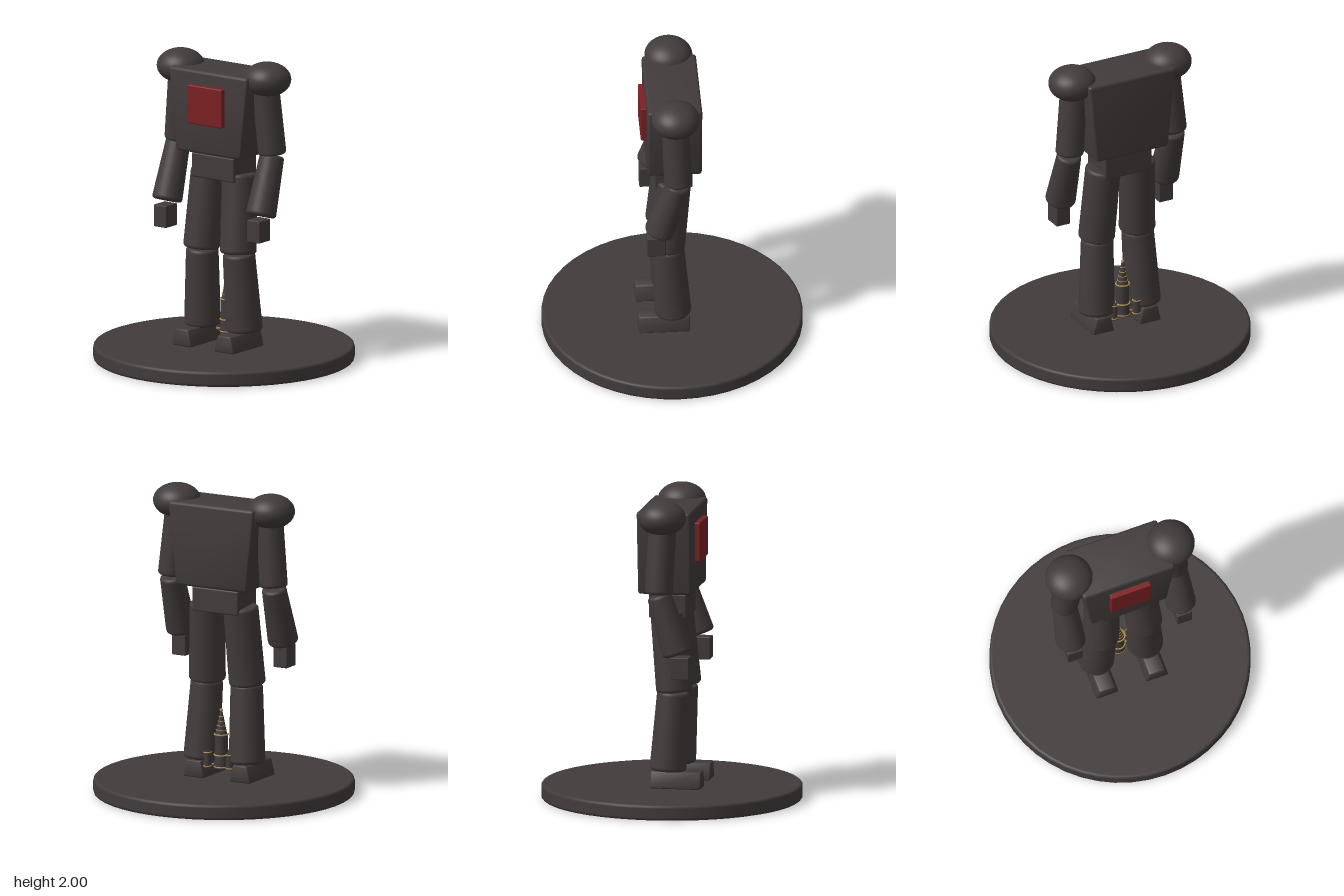
import * as THREE from 'three';
import { toCreasedNormals } from 'three/addons/utils/BufferGeometryUtils.js';
import { RoundedBoxGeometry } from 'three/addons/geometries/RoundedBoxGeometry.js';

const mat = (name, color) => {
  const m = new THREE.MeshStandardMaterial({ color });
  m.name = name;
  return m;
};

export function createModel() {
  const iron = mat('dark iron', 0x423b3b);
  const red = mat('deep red', 0x7a2022);
  const gold = mat('gold', 0xb08d4f);
  const model = new THREE.Group();
  model.name = 'robotStatue';

  const add = (parent, name, geometry, material, x = 0, y = 0, z = 0) => {
    const mesh = new THREE.Mesh(geometry, material);
    mesh.name = name;
    mesh.position.set(x, y, z);
    parent.add(mesh);
    return mesh;
  };

  // Softened box whose width changes from bottom to top
  const taperedBox = (wBottom, wTop, h, d, bevel) => {
    const g = new RoundedBoxGeometry(1, h, d, 3, bevel);
    const p = g.attributes.position;
    for (let i = 0; i < p.count; i++) {
      const w = THREE.MathUtils.lerp(wBottom, wTop, p.getY(i) / h + 0.5);
      const x = p.getX(i), inner = 0.5 - bevel;
      // keep the bevel width constant while the flat part is scaled
      const sx = Math.abs(x) > inner
        ? Math.sign(x) * (w / 2 - 0.5 + Math.abs(x))
        : x * (w / 2 - bevel) / inner;
      p.setX(i, sx);
    }
    return toCreasedNormals(g, 0.6);
  };

  // Turned solid with rounded rims, from y = 0 to y = h
  const roundedDrum = (r0, r1, h, b, segments) => {
    const pts = [new THREE.Vector2(0, 0), new THREE.Vector2(r0 - b * 1.2, 0)];
    for (let i = 0; i <= 4; i++) {
      const a = (i / 4) * Math.PI / 2;
      pts.push(new THREE.Vector2(r0 - b + b * Math.sin(a), b - b * Math.cos(a)));
    }
    pts.push(new THREE.Vector2(r0, b * 1.2), new THREE.Vector2(r1, h - b * 1.2));
    for (let i = 0; i <= 4; i++) {
      const a = (i / 4) * Math.PI / 2;
      pts.push(new THREE.Vector2(r1 - b + b * Math.cos(a), h - b + b * Math.sin(a)));
    }
    pts.push(new THREE.Vector2(r1 - b * 1.2, h), new THREE.Vector2(0, h));
    return new THREE.LatheGeometry(pts, segments);
  };

  // Limb segment running from its lower centre to its upper centre
  const limb = (parent, name, from, to, r0, r1) => {
    const a = new THREE.Vector3(...from), dir = new THREE.Vector3(...to).sub(a);
    const mesh = add(parent, name, roundedDrum(r0, r1, dir.length(), 0.02, 32), iron, ...from);
    mesh.quaternion.setFromUnitVectors(new THREE.Vector3(0, 1, 0), dir.normalize());
  };

  // Display base
  add(model, 'base', roundedDrum(0.84, 0.84, 0.1, 0.018, 48), iron);

  // Trunk
  add(model, 'torso', taperedBox(0.52, 0.632, 0.545, 0.35, 0.018), iron, 0, 1.643, 0);
  add(model, 'pelvis', new RoundedBoxGeometry(0.34, 0.16, 0.245, 3, 0.01), iron, 0, 1.28, 0.002);
  add(model, 'chestPlate', new RoundedBoxGeometry(0.275, 0.255, 0.05, 3, 0.008), red, 0, 1.697, 0.185);

  // Arms and legs on both sides
  for (const s of [1, -1]) {
    const arm = new THREE.Group();
    arm.name = s > 0 ? 'leftArm' : 'rightArm';
    model.add(arm);
    add(arm, 'shoulder', new THREE.SphereGeometry(0.155, 40, 24), iron, s * 0.347, 1.888, 0)
      .scale.set(1, 0.72, 1);
    limb(arm, 'upperArm', [s * 0.377, 1.395, -0.016], [s * 0.335, 1.85, 0.003], 0.091, 0.088);
    limb(arm, 'forearm', [s * 0.377, 1.01, 0.11], [s * 0.377, 1.39, -0.014], 0.098, 0.08);
    add(arm, 'hand', new RoundedBoxGeometry(0.1, 0.145, 0.12, 2, 0.006), iron, s * 0.375, 0.92, 0.128);

    const leg = new THREE.Group();
    leg.name = s > 0 ? 'leftLeg' : 'rightLeg';
    model.add(leg);
    limb(leg, 'thigh', [s * 0.148, 0.722, 0.045], [s * 0.124, 1.24, -0.002], 0.118, 0.114);
    limb(leg, 'shin', [s * 0.168, 0.21, 0.005], [s * 0.147, 0.722, 0.037], 0.118, 0.105);
    add(leg, 'foot', taperedBox(0.156, 0.104, 0.11, 0.33, 0.01), iron, s * 0.17, 0.155, 0.065);
  }

  // Small rocket between the legs
  const rocket = new THREE.Group();
  rocket.name = 'rocket';
  rocket.position.z = -0.035;
  model.add(rocket);
  const ring = (name, r, x, y, tube = 0.005) => {
    add(rocket, name, new THREE.TorusGeometry(r, tube, 8, 24), gold, x, y).rotation.x = Math.PI / 2;
  };
  add(rocket, 'rocketSkirt', new THREE.CylinderGeometry(0.042, 0.048, 0.09, 24), iron, 0, 0.215);
  add(rocket, 'rocketBody', new THREE.CylinderGeometry(0.042, 0.042, 0.14, 24), iron, 0, 0.32);
  add(rocket, 'rocketSpire', new THREE.CylinderGeometry(0.008, 0.038, 0.15, 24), iron, 0, 0.465);
  add(rocket, 'rocketTip', new THREE.SphereGeometry(0.011, 12, 8), gold, 0, 0.549);
  ring('bottomBand', 0.045, 0, 0.178);
  ring('middleBand', 0.045, 0, 0.255);
  ring('topBand', 0.044, 0, 0.39);
  for (let i = 0; i < 4; i++) ring('spireBand', 0.034 - i * 0.0065, 0, 0.418 + i * 0.03, 0.0025);

  // Side boosters with their gold struts
  for (const s of [1, -1]) {
    add(rocket, 'booster', new THREE.CylinderGeometry(0.022, 0.026, 0.11, 20), iron, s * 0.083, 0.225, -0.035);
    for (const y of [0.18, 0.27]) {
      add(rocket, 'boosterBand', new THREE.TorusGeometry(0.025, 0.004, 8, 20), gold, s * 0.083, y, -0.035)
        .rotation.x = Math.PI / 2;
    }
    add(rocket, 'boosterStrut', new THREE.BoxGeometry(0.05, 0.008, 0.012), gold, s * 0.065, 0.188, -0.01)
      .rotation.z = -s * 0.3;
  }
  return model;
}
